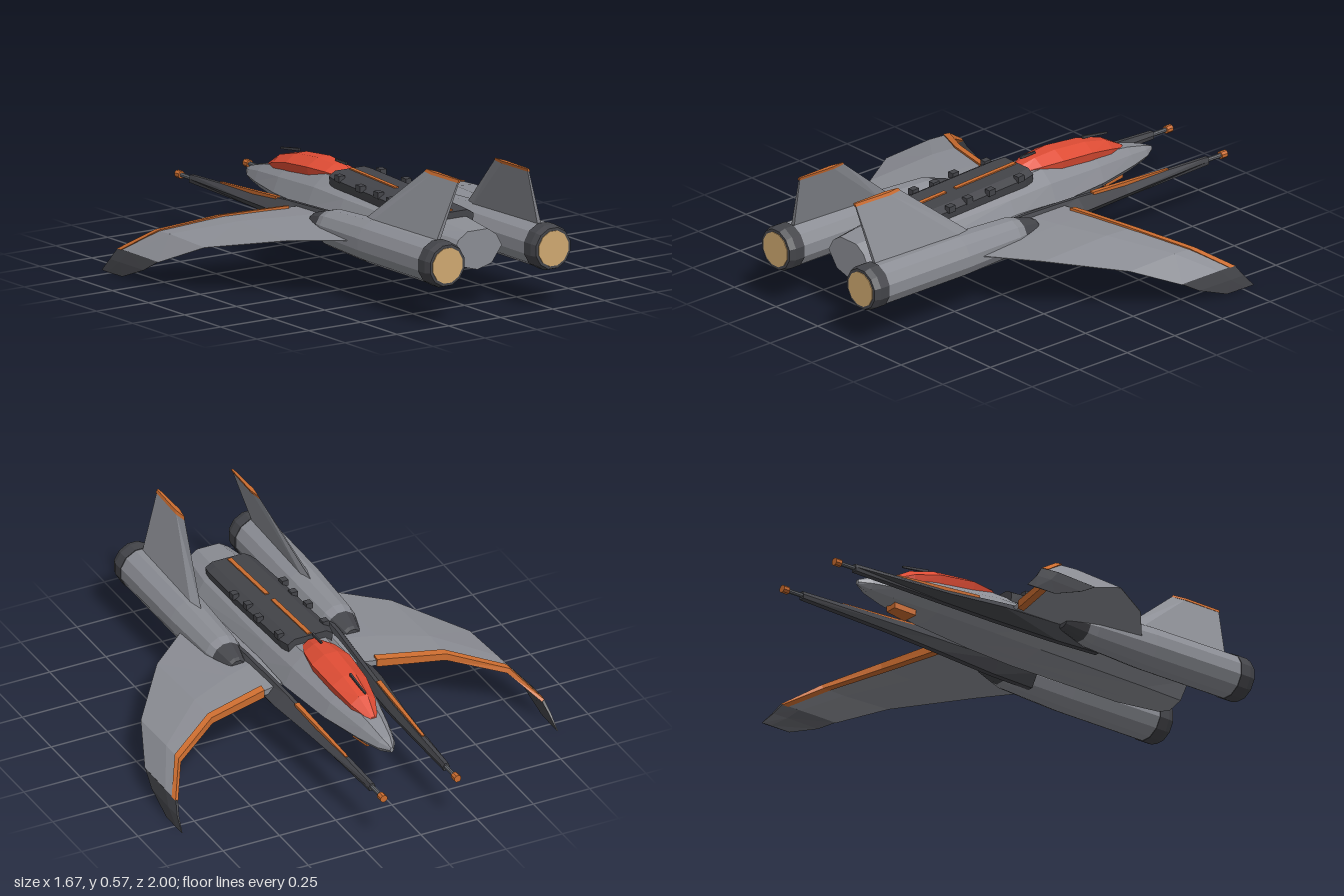
import * as THREE from 'three';

const mat = (name, color) => Object.assign(new THREE.MeshStandardMaterial({ color }), { name });

// Closed, flat-faceted skin through matching convex cross-sections, always facing outward
function loft(sections) {
  const tris = [];
  const n = sections[0].length;
  for (let i = 0; i < sections.length - 1; i++) {
    const a = sections[i], b = sections[i + 1];
    for (let j = 0; j < n; j++) {
      const k = (j + 1) % n;
      tris.push([a[j], a[k], b[k]], [a[j], b[k], b[j]]);
    }
  }
  const first = sections[0], last = sections[sections.length - 1];
  for (let j = 1; j < n - 1; j++) {
    tris.push([first[0], first[j + 1], first[j]], [last[0], last[j], last[j + 1]]);
  }
  let volume = 0;
  for (const [a, b, c] of tris) {
    volume += a[0] * (b[1] * c[2] - b[2] * c[1]) + a[1] * (b[2] * c[0] - b[0] * c[2]) + a[2] * (b[0] * c[1] - b[1] * c[0]);
  }
  if (volume < 0) tris.forEach(t => t.reverse());
  const g = new THREE.BufferGeometry();
  g.setAttribute('position', new THREE.Float32BufferAttribute(tris.flat(2), 3));
  g.computeVertexNormals();
  return g;
}

// Cross-section makers
const ring = (x, y, z, r, sides = 12) => Array.from({ length: sides }, (_, i) => {
  const a = ((i + 0.5) / sides) * Math.PI * 2;
  return [x + r * Math.cos(a), y + r * Math.sin(a), z];
});
const rectZ = (x, y, z, hw, hh) => [[x - hw, y - hh, z], [x + hw, y - hh, z], [x + hw, y + hh, z], [x - hw, y + hh, z]];

const hullSection = ([z, w, top, mid, bot]) => {
  const half = [[0.42, top], [0.78, mid + (top - mid) * 0.62], [1, mid], [0.58, mid + (bot - mid) * 0.78]];
  return [...half.map(([f, y]) => [f * w, y, z]), [0, bot, z], ...half.reverse().map(([f, y]) => [-f * w, y, z])];
};

// Wing stations: x, y, leading z, trailing z, thickness, tilt
const wingStations = [
  [0.16, 0.25, -0.11, 0.52, 0.04, 0],
  [0.33, 0.247, -0.15, 0.43, 0.038, 0.05],
  [0.52, 0.24, -0.2, 0.27, 0.034, 0.15],
  [0.73, 0.188, -0.33, 0.0, 0.026, 0.5],
  [0.815, 0.1, -0.47, -0.2, 0.016, 1.0],
];
const tipStations = [
  [0.814, 0.102, -0.475, -0.2, 0.02, 1.0],
  [0.827, 0.055, -0.51, -0.28, 0.014, 1.25],
  [0.834, 0.002, -0.56, -0.42, 0.004, 1.45],
];
const wingSection = ([x, y, lead, trail, t, tilt]) =>
  [[0, 0.3], [0.3, 0.5], [1, 0.04], [1, -0.04], [0.3, -0.5], [0, -0.3]].map(([f, h]) =>
    [x + h * t * Math.sin(tilt), y + h * t * Math.cos(tilt), lead + (trail - lead) * f]);
const edgeSection = ([x, y, lead, , t, tilt]) =>
  [[-0.006, 0.42], [0.024, 0.56], [0.024, -0.5], [-0.006, -0.42]].map(([dz, h]) =>
    [x + h * t * Math.sin(tilt), y + h * t * Math.cos(tilt), lead + dz]);

export function createModel() {
  const root = new THREE.Group();
  root.name = 'starfighter';
  const grey = mat('hull grey', 0x8b8d94);
  const steel = mat('steel grey', 0x66696f);
  const dark = mat('dark grey', 0x434449);
  const orange = mat('orange trim', 0xcb6c2f);
  const red = mat('canopy red', 0xde4c34);
  const tan = mat('exhaust tan', 0xcfa870);

  const add = (name, material, sections, parent = root) => {
    const m = new THREE.Mesh(loft(sections), material);
    m.name = name;
    parent.add(m);
  };

  // Fuselage
  add('fuselage', grey, [
    [-0.75, 0.008, 0.268, 0.256, 0.246],
    [-0.7, 0.04, 0.288, 0.252, 0.226],
    [-0.6, 0.072, 0.315, 0.25, 0.208],
    [-0.4, 0.122, 0.347, 0.25, 0.187],
    [-0.12, 0.155, 0.375, 0.25, 0.17],
    [0.1, 0.165, 0.368, 0.25, 0.16],
    [0.64, 0.155, 0.342, 0.25, 0.155],
    [0.84, 0.117, 0.325, 0.25, 0.165],
  ].map(hullSection));
  add('chinSensor', orange, [rectZ(0, 0.205, -0.58, 0.026, 0.018), rectZ(0, 0.197, -0.48, 0.036, 0.018)]);

  // Canopy, with two thin aerials
  add('canopy', red, [
    [-0.59, 0.018, 0.322, 0.3],
    [-0.5, 0.055, 0.372, 0.31],
    [-0.38, 0.076, 0.402, 0.33],
    [-0.22, 0.084, 0.416, 0.345],
    [-0.12, 0.068, 0.408, 0.35],
    [-0.055, 0.04, 0.39, 0.35],
  ].map(([z, w, top, bot]) => {
    const mid = bot + (top - bot) * 0.55;
    return [[0.35 * w, top, z], [w, mid, z], [0.9 * w, bot, z], [-0.9 * w, bot, z], [-w, mid, z], [-0.35 * w, top, z]];
  }));
  add('frontAerial', dark, [rectZ(0, 0.392, -0.52, 0.003, 0.004), rectZ(0, 0.41, -0.39, 0.004, 0.006)]);
  add('rearAerial', dark, [rectZ(0, 0.419, -0.14, 0.004, 0.004), rectZ(0, 0.417, -0.065, 0.004, 0.006)]);

  // Dark spine panel with orange stripes and side clamps
  const spineTop = z => 0.402 - 0.036 * (z + 0.05) / 0.72;
  add('spinePanel', dark, [-0.045, 0.0, 0.4, 0.63, 0.67].map((z, i) => {
    const t = spineTop(z), w = [0.1, 0.11, 0.112, 0.107, 0.1][i];
    return [[-w * 0.7, t, z], [w * 0.7, t, z], [w, t - 0.018, z], [w * 0.95, t - 0.055, z], [-w * 0.95, t - 0.055, z], [-w, t - 0.018, z]];
  }));
  for (const [a, b] of [[-0.035, 0.28], [0.33, 0.655]]) {
    add('spineStripe', orange, [a, b].map(z => rectZ(0, spineTop(z) + 0.001, z, 0.009, 0.004)));
  }

  for (const s of [1, -1]) {
    const side = new THREE.Group();
    side.name = s > 0 ? 'leftSide' : 'rightSide';
    root.add(side);
    const put = (name, material, sections) =>
      add(name, material, sections.map(r => r.map(([x, y, z]) => [s * x, y, z])), side);

    for (const z of [0.03, 0.19, 0.3, 0.4]) {
      const out = z === 0.19 || z === 0.4 ? 0.11 : 0.1;
      put('spineClamp', dark, [z - 0.016, z + 0.016].map(q => rectZ(out, spineTop(q) - 0.008, q, 0.014, 0.013)));
    }

    // Wing, swept-down tip and leading edge trim
    put('wing', grey, wingStations.map(wingSection));
    put('wingTip', dark, tipStations.map(wingSection));
    put('wingLeadingEdge', orange, [[0.25, 0.25, -0.13, 0, 0.04, 0.02], ...wingStations.slice(2)].map(edgeSection));

    // Engine
    const ex = 0.255, ey = 0.247;
    put('engineIntake', dark, [[0.085, 0.035], [0.1, 0.043], [0.18, 0.066], [0.22, 0.068]].map(([z, r]) => ring(ex, ey, z, r)));
    put('engineBody', grey, [[0.18, 0.066], [0.22, 0.077], [0.5, 0.09], [0.93, 0.091]].map(([z, r]) => ring(ex, ey, z, r)));
    put('engineNozzle', dark, [[0.925, 0.094], [0.97, 0.094], [0.997, 0.085]].map(([z, r]) => ring(ex, ey, z, r)));
    put('exhaust', tan, [0.99, 1.0].map(z => ring(ex, ey, z, 0.073)));

    // Inward-leaning tail fin
    const fin = (y, z0, z1, x, t) => [[x, y, z0], [x + t, y, z0 + 0.06], [x + t * 0.5, y, z1], [x - t * 0.5, y, z1], [x - t, y, z0 + 0.06]];
    put('tailFin', grey, [fin(0.31, 0.4, 0.915, 0.25, 0.018), fin(0.568, 0.72, 0.95, 0.167, 0.007)]);
    put('finTipTrim', orange, [fin(0.562, 0.713, 0.953, 0.169, 0.01), fin(0.574, 0.722, 0.953, 0.165, 0.009)]);

    // Long forward cannon: blade housing, barrel, muzzle and trim
    put('cannonHousing', dark, [
      [-0.9, 0.165, 0.15, 0.179, 0.2, 0.231],
      [-0.45, 0.172, 0.148, 0.212, 0.19, 0.248],
      [-0.2, 0.182, 0.155, 0.24, 0.182, 0.268],
      [0.1, 0.2, 0.16, 0.245, 0.174, 0.285],
      [0.3, 0.21, 0.165, 0.245, 0.176, 0.28],
    ].map(([z, xr, xi, xo, lo, hi]) => {
      const m = (lo + hi) / 2;
      return [[xr - 0.008, hi, z], [xr + 0.008, hi, z], [xo, m, z], [xr + 0.012, lo, z], [xr - 0.012, lo, z], [xi, m, z]];
    }));
    put('cannonBarrel', steel, [-0.98, -0.88].map(z => ring(0.164, 0.215, z, 0.009, 8)));
    put('cannonMuzzle', orange, [-1.0, -0.97].map(z => ring(0.164, 0.215, z, 0.016, 8)));
    put('cannonTrim', orange, [rectZ(0.17, 0.236, -0.69, 0.006, 0.008), rectZ(0.182, 0.258, -0.28, 0.01, 0.01)]);
  }
  return root;
}
